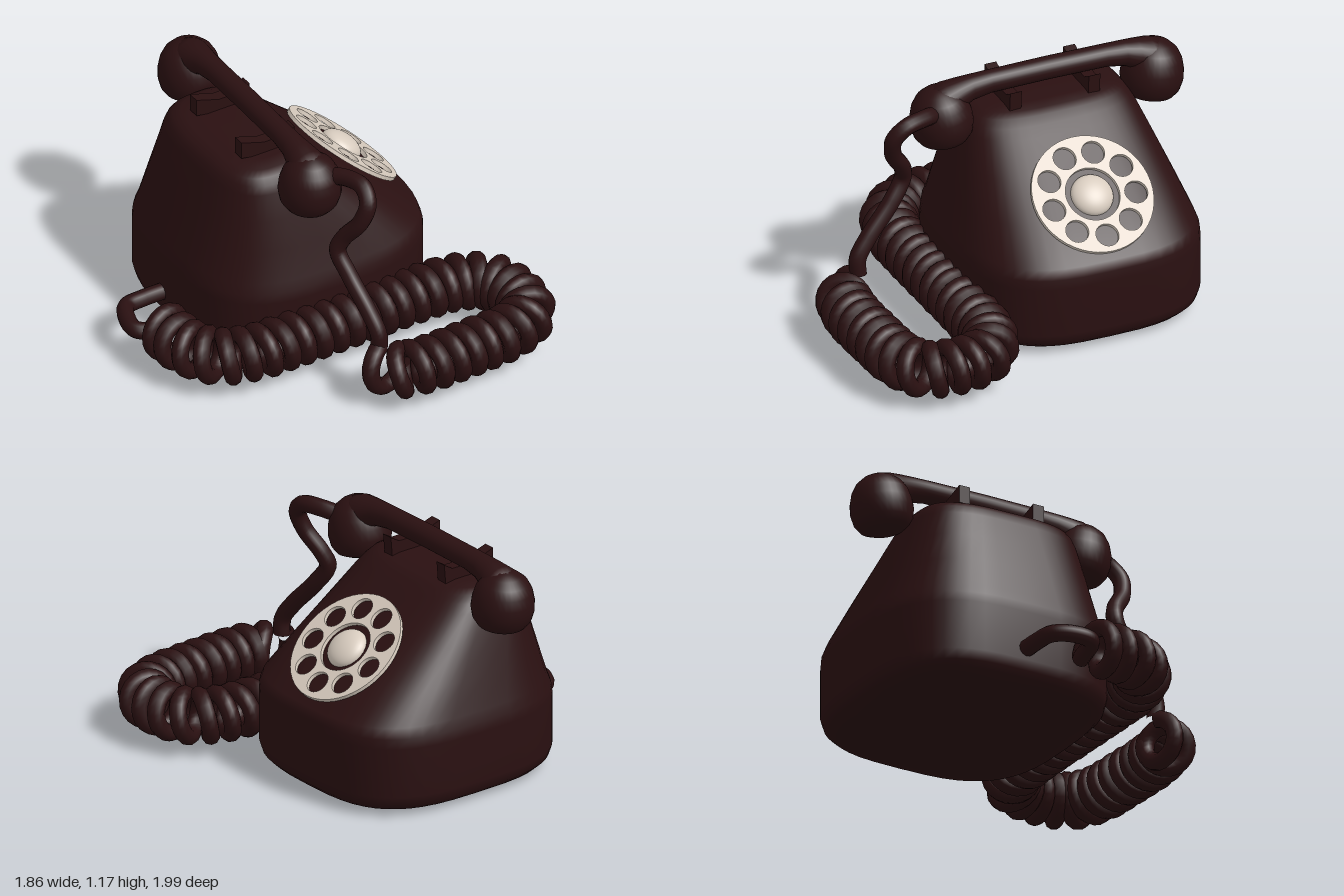
import * as THREE from 'three';

const V = (x, y, z) => new THREE.Vector3(x, y, z);

// Skin over closed cross-sections, capped at both ends
function loft(rings) {
  const n = rings[0].length, pos = [], idx = [];
  rings.forEach(r => r.forEach(p => pos.push(p.x, p.y, p.z)));
  for (let i = 0; i < rings.length - 1; i++) {
    for (let j = 0; j < n; j++) {
      const a = i * n + j, b = i * n + (j + 1) % n;
      idx.push(a, a + n, b, b, a + n, b + n);
    }
  }
  [0, rings.length - 1].forEach(i => {
    const c = V(0, 0, 0);
    rings[i].forEach(p => c.addScaledVector(p, 1 / n));
    const k = pos.length / 3;
    pos.push(c.x, c.y, c.z);
    for (let j = 0; j < n; j++) {
      const a = i * n + j, b = i * n + (j + 1) % n;
      if (i === 0) idx.push(k, a, b); else idx.push(k, b, a);
    }
  });
  const g = new THREE.BufferGeometry();
  g.setAttribute('position', new THREE.Float32BufferAttribute(pos, 3));
  g.setIndex(idx);
  g.computeVertexNormals();
  return g;
}

// Rounded-square outline at one height
function bodyRing([y, left, right, halfZ]) {
  const n = 48, e = 2 / 3.1, pts = [];
  const pw = v => Math.sign(v) * Math.abs(v) ** e;
  for (let i = 0; i < n; i++) {
    const t = i / n * Math.PI * 2;
    pts.push(V((left + right) / 2 + pw(Math.cos(t)) * (right - left) / 2, y, -0.297 + pw(Math.sin(t)) * halfZ));
  }
  return pts;
}

// Helix wound around a flat path
class Coil extends THREE.Curve {
  constructor(axis, radius, turns) {
    super();
    Object.assign(this, { axis, radius, turns, arcLengthDivisions: 3000 });
  }
  getPoint(t, target = V(0, 0, 0)) {
    const p = this.axis.getPointAt(t), d = this.axis.getTangentAt(t);
    const a = t * this.turns * Math.PI * 2;
    const up = Math.cos(a) * this.radius, out = Math.sin(a) * this.radius;
    return target.set(p.x - d.z * out, p.y + up, p.z + d.x * out);
  }
}

export function createModel() {
  const model = new THREE.Group();
  const dark = new THREE.MeshStandardMaterial({ color: 0x2a1011 });
  dark.name = 'darkBrown';
  const ivory = new THREE.MeshStandardMaterial({ color: 0xd8ccbf });
  ivory.name = 'ivory';
  const add = (name, geometry, material = dark, parent = model) => {
    const m = new THREE.Mesh(geometry, material);
    m.name = name;
    parent.add(m);
    return m;
  };

  // Housing: height, left edge, right edge, half depth
  add('housing', loft([
    [0.0, -0.2, 0.2, 0.2], [0.012, -0.45, 0.45, 0.43], [0.03, -0.585, 0.585, 0.56],
    [0.06, -0.615, 0.615, 0.59], [0.11, -0.63, 0.63, 0.603], [0.36, -0.63, 0.63, 0.603],
    [0.41, -0.625, 0.63, 0.597], [0.46, -0.61, 0.615, 0.578], [0.61, -0.565, 0.436, 0.53],
    [0.76, -0.52, 0.25, 0.48], [0.89, -0.48, 0.092, 0.435], [0.93, -0.463, 0.045, 0.415],
    [0.96, -0.44, 0.005, 0.39], [0.98, -0.4, -0.03, 0.35], [0.99, -0.33, -0.09, 0.28],
  ].map(bodyRing)));

  // Dial plate with finger holes, lying on the sloped face
  const dial = new THREE.Group();
  dial.name = 'dial';
  dial.position.set(0.365, 0.69, -0.3);
  dial.rotation.z = -Math.atan2(0.629, 0.778);
  model.add(dial);
  const plate = new THREE.Shape().absarc(0, 0, 0.302, 0, Math.PI * 2);
  const hole = (x, y, r) => plate.holes.push(new THREE.Path().absarc(x, y, r, 0, Math.PI * 2, true));
  hole(0, 0, 0.135);
  for (let i = 0; i < 9; i++) {
    const a = i / 9 * Math.PI * 2;
    hole(Math.cos(a) * 0.217, Math.sin(a) * 0.217, 0.057);
  }
  const plateGeo = new THREE.ExtrudeGeometry(plate, { depth: 0.02, bevelEnabled: false, curveSegments: 24 });
  plateGeo.rotateX(-Math.PI / 2).translate(0, -0.018, 0);
  add('fingerWheel', plateGeo, ivory, dial);
  const dome = new THREE.SphereGeometry(0.105, 32, 10, 0, Math.PI * 2, 0, Math.PI / 2);
  dome.scale(1, 0.55, 1).translate(0, -0.015, 0);
  add('dialCentre', dome, ivory, dial);

  // Cradle prongs
  const prong = new THREE.Shape([
    [-0.345, 1.0], [-0.2, 0.975], [-0.06, 0.96], [-0.05, 1.08], [-0.1, 1.05], [-0.22, 1.05], [-0.345, 1.09],
  ].map(p => new THREE.Vector2(...p)));
  [-0.09, -0.5].forEach(z => {
    const g = new THREE.ExtrudeGeometry(prong, { depth: 0.06, bevelEnabled: false });
    add('cradleProng', g).position.z = z - 0.03;
  });

  // Handset: grip swept along z, flaring into the two cups
  const handset = new THREE.Group();
  handset.name = 'handset';
  handset.position.set(-0.155, 0, -0.297);
  model.add(handset);
  const half = [[0, 1.113, 0.056], [0.3, 1.11, 0.056], [0.4, 1.1, 0.063], [0.47, 1.078, 0.08],
    [0.54, 1.05, 0.1], [0.6, 1.03, 0.1]];
  const sections = [...half.slice(1).reverse().map(([z, y, r]) => [-z, y, r]), ...half];
  add('grip', loft(sections.map(([z, y, r]) => Array.from({ length: 24 }, (_, i) => {
    const t = i / 24 * Math.PI * 2;
    return V(Math.cos(t) * r, y - Math.sin(t) * r, z);
  }))), dark, handset);
  const cup = [[0, -0.145], [0.09, -0.145], [0.12, -0.132], [0.142, -0.1], [0.153, -0.05], [0.15, 0],
    [0.137, 0.05], [0.112, 0.093], [0.075, 0.123], [0.035, 0.14], [0, 0.144]]
    .map(p => new THREE.Vector2(...p));
  [1, -1].forEach(s => {
    const m = add(s > 0 ? 'mouthpiece' : 'earpiece', new THREE.LatheGeometry(cup, 32), dark, handset);
    m.position.set(0, 0.995, s * 0.553);
    m.rotation.x = s * 0.12;
  });

  // Coiled cord looping in front of the housing
  const axis = new THREE.CatmullRomCurve3([
    [-0.06, 0.73], [-0.01, 0.82], [0.12, 0.847], [0.4, 0.84], [0.62, 0.82], [0.75, 0.75], [0.785, 0.6],
    [0.74, 0.43], [0.6, 0.35], [0.4, 0.335], [0, 0.34], [-0.3, 0.345], [-0.52, 0.34], [-0.68, 0.28],
    [-0.765, 0.15], [-0.785, 0], [-0.79, -0.06],
  ].map(([x, z]) => V(x, 0.18, z)));
  axis.arcLengthDivisions = 600;
  const coil = new Coil(axis, 0.1, 33.3);
  add('coiledCord', new THREE.TubeGeometry(coil, 700, 0.043, 10));

  // Plain cord ends joining the coil to the handset and the housing
  const cord = (name, pts) => add(name, new THREE.TubeGeometry(new THREE.CatmullRomCurve3(pts), 70, 0.042, 12));
  cord('handsetCord', [V(-0.1, 1.03, 0.3), V(-0.04, 1.055, 0.4), V(-0.01, 1.05, 0.5), V(-0.02, 0.99, 0.56),
    V(-0.055, 0.89, 0.55), V(-0.105, 0.78, 0.48), V(-0.13, 0.71, 0.465), V(-0.11, 0.6, 0.535),
    V(-0.08, 0.45, 0.67), V(-0.065, 0.36, 0.73), coil.getPoint(0)]);
  cord('housingCord', [coil.getPoint(1), V(-0.885, 0.16, -0.13), V(-0.88, 0.17, -0.23), V(-0.83, 0.17, -0.31),
    V(-0.73, 0.17, -0.325), V(-0.58, 0.17, -0.325)]);

  return model;
}
